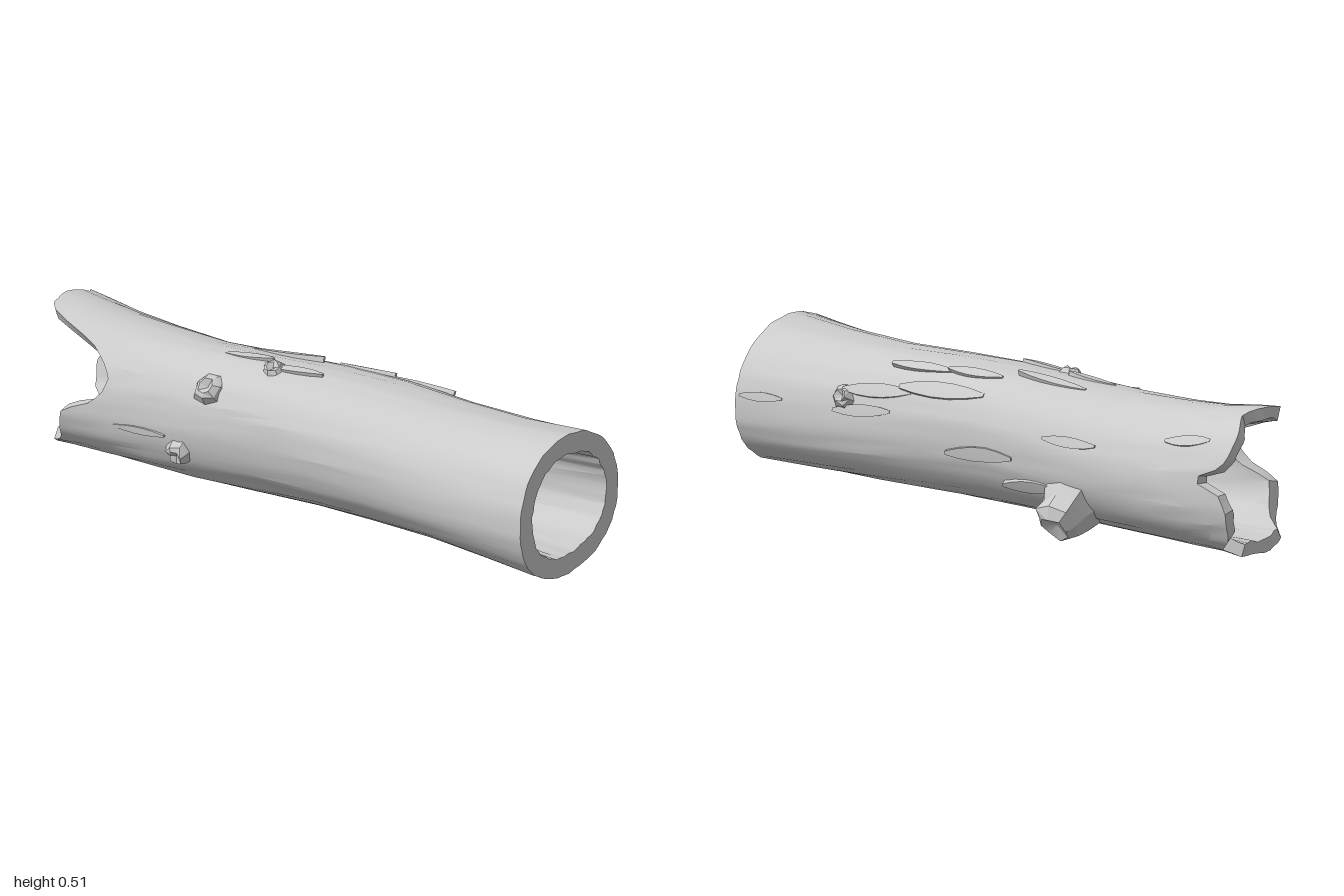
import * as THREE from 'three';
import { toCreasedNormals, mergeVertices } from 'three/addons/utils/BufferGeometryUtils.js';

const RAD = Math.PI / 180;
const material = new THREE.MeshStandardMaterial({ color: 0xcccccc });

// Linear lookup in rows of [key, v1, v2, ...]
function sample(rows, key) {
  let i = 0;
  while (i < rows.length - 2 && key > rows[i + 1][0]) i++;
  const a = rows[i], b = rows[i + 1];
  const t = THREE.MathUtils.clamp((key - a[0]) / (b[0] - a[0]), 0, 1);
  return a.map((v, k) => v + (b[k] - v) * t);
}

// Seeded noise in -1..1
function seeded(seed) {
  return () => {
    seed = (seed * 16807) % 2147483647;
    return (seed / 2147483647) * 2 - 1;
  };
}

// Trunk extents along x: [x, top, bottom, front z, back z, wall thickness]
const STATIONS = [
  [-1, 0.515, 0.015, 0.21, -0.258, 0.04],
  [-0.92, 0.505, 0.02, 0.205, -0.25, 0.045],
  [-0.72, 0.475, 0.022, 0.2, -0.238, 0.055],
  [-0.4, 0.466, 0.022, 0.2, -0.232, 0.055],
  [0, 0.488, 0.034, 0.212, -0.235, 0.06],
  [0.3, 0.481, 0.03, 0.222, -0.238, 0.06],
  [0.65, 0.457, 0.02, 0.235, -0.24, 0.06],
  [1, 0.481, 0.003, 0.288, -0.254, 0.066],
];

// Broken left rim: [angle from the front going up, x]
const RIM = [
  [0, -0.75], [10, -0.7], [25, -0.68], [38, -0.72], [50, -0.78], [60, -0.9], [68, -0.98],
  [90, -0.985], [108, -0.95], [130, -1], [150, -0.99], [160, -0.97], [168, -0.88], [174, -0.88],
  [180, -0.97], [192, -1], [215, -0.99], [234, -0.92], [246, -0.965], [262, -0.94], [280, -0.96],
  [300, -0.95], [312, -0.9], [320, -0.88], [350, -0.85], [360, -0.75],
];

// Point on the trunk at x and angle (degrees), moved out by lift
function surface(x, angle, lift = 0) {
  const [, top, bottom, front, back] = sample(STATIONS, x);
  const c = Math.cos(angle * RAD), s = Math.sin(angle * RAD);
  const bulge = (v) => Math.sign(v) * Math.abs(v) ** 0.93;
  const lump = 0.004 * Math.sin(angle * RAD * 3 + x * 4) - 0.004;
  return new THREE.Vector3(
    x,
    (top + bottom) / 2 + ((top - bottom) / 2 + lift + lump) * bulge(s),
    (front + back) / 2 + ((front - back) / 2 + lift + lump) * bulge(c),
  );
}

function add(group, name, geometry, crease = 0.4) {
  const mesh = new THREE.Mesh(toCreasedNormals(geometry, crease), material);
  mesh.name = name;
  group.add(mesh);
  return mesh;
}

// Hollow trunk: rings run along the outside, then back through the inside
function trunkGeometry() {
  const SIDES = 60;
  const steps = [0, 0.04, 0.1, 0.18, 0.28, 0.4, 0.52, 0.64, 0.76, 0.88, 1];
  const rings = [
    ...steps.map((t) => [t, false]),
    ...steps.slice().reverse().map((t) => [t, true]),
  ];
  const noise = seeded(71);
  const positions = [], index = [];
  for (const [t, inside] of rings) {
    for (let j = 0; j < SIDES; j++) {
      const angle = (j * 360) / SIDES;
      const x = THREE.MathUtils.lerp(sample(RIM, angle)[1], 1, t);
      const wall = sample(STATIONS, x)[5];
      const rough = noise() * 0.003;
      positions.push(...surface(x, angle, inside ? -wall + rough * 1.5 : rough).toArray());
    }
  }
  for (let i = 0; i < rings.length; i++) {
    for (let j = 0; j < SIDES; j++) {
      const k = (i + 1) % rings.length, n = (j + 1) % SIDES;
      const a = i * SIDES + j, b = k * SIDES + j, c = k * SIDES + n, d = i * SIDES + n;
      index.push(a, b, c, a, c, d);
    }
  }
  const geometry = new THREE.BufferGeometry();
  geometry.setAttribute('position', new THREE.Float32BufferAttribute(positions, 3));
  geometry.setIndex(index);
  return geometry;
}

// Bark flake: a pointed plate wrapped on the trunk, with one end lifted
function barkGeometry(x, angle, length, width, lift) {
  const geometry = new THREE.BoxGeometry(1, 1, 1, 5, 2, 1);
  const p = geometry.attributes.position;
  for (let i = 0; i < p.count; i++) {
    const u = p.getX(i), v = p.getY(i), w = p.getZ(i);
    const taper = 1 - 0.75 * Math.abs(2 * u) ** 2;
    const out = w < 0 ? -0.012 : 0.003 + lift * (u + 0.5);
    const q = surface(x + u * length, angle + v * width * taper + u * width * 0.4, out);
    p.setXYZ(i, q.x, q.y, q.z);
  }
  return geometry;
}

// Stump pointing out of the trunk: rings of [height, radius], with a chipped outline
function stumpGeometry(profile, sides, seed) {
  const points = profile.map(([h, r]) => new THREE.Vector2(r, h));
  const geometry = new THREE.LatheGeometry(points, sides);
  geometry.deleteAttribute('uv');
  geometry.deleteAttribute('normal');
  const merged = mergeVertices(geometry, 1e-4);
  const p = merged.attributes.position, noise = seeded(seed);
  for (let i = 0; i < p.count; i++) {
    const s = 1 + noise() * 0.13;
    p.setXYZ(i, p.getX(i) * s, p.getY(i) + noise() * 0.006, p.getZ(i) * s);
  }
  return merged;
}

function addStump(group, name, x, angle, profile, sides, seed) {
  const mesh = add(group, name, stumpGeometry(profile, sides, seed), 0.3);
  const out = new THREE.Vector3(0, Math.sin(angle * RAD), Math.cos(angle * RAD));
  mesh.position.copy(surface(x, angle));
  mesh.quaternion.setFromUnitVectors(new THREE.Vector3(0, 1, 0), out);
}

export function createModel() {
  const log = new THREE.Group();
  log.name = 'hollowLog';
  add(log, 'trunk', trunkGeometry(), 0.45);

  // Broken branch low on the back
  addStump(log, 'branchStub', -0.31, 218,
    [[-0.03, 0.115], [0.03, 0.085], [0.07, 0.078], [0.1, 0.055], [0.085, 0]], 8, 23);

  // Small knots: [x, angle, radius, height]
  const knots = [
    [-0.3, 38, 0.05, 0.028], [-0.4, 338, 0.042, 0.03],
    [0.58, 158, 0.04, 0.028], [-0.12, 72, 0.035, 0.014],
  ];
  knots.forEach(([x, angle, r, h], i) => addStump(log, 'knot', x, angle,
    [[-0.02, r * 1.3], [h * 0.6, r * 0.85], [h, r * 0.55], [h * 0.4, 0]], 7, 40 + i * 17));

  // Loose bark: [x, angle, length, width in degrees, lift]
  const flakes = [
    [0.2, 142, 0.32, 14, 0.018], [0.45, 150, 0.26, 12, 0.02], [0.32, 122, 0.24, 9, 0.014],
    [0.12, 118, 0.2, 10, 0.012], [-0.15, 104, 0.26, 9, 0.012], [-0.24, 82, 0.18, 8, 0.01],
    [-0.05, 76, 0.22, 8, 0.008], [0.5, 168, 0.22, 10, 0.014], [0.02, 186, 0.26, 11, 0.016],
    [-0.18, 204, 0.22, 12, 0.018], [-0.34, 160, 0.2, 9, 0.012], [-0.8, 140, 0.18, 10, 0.008],
    [0.9, 172, 0.16, 7, 0.006], [-0.55, 350, 0.2, 6, 0.005],
  ];
  for (const flake of flakes) add(log, 'barkFlake', barkGeometry(...flake), 0.5);
  return log;
}
